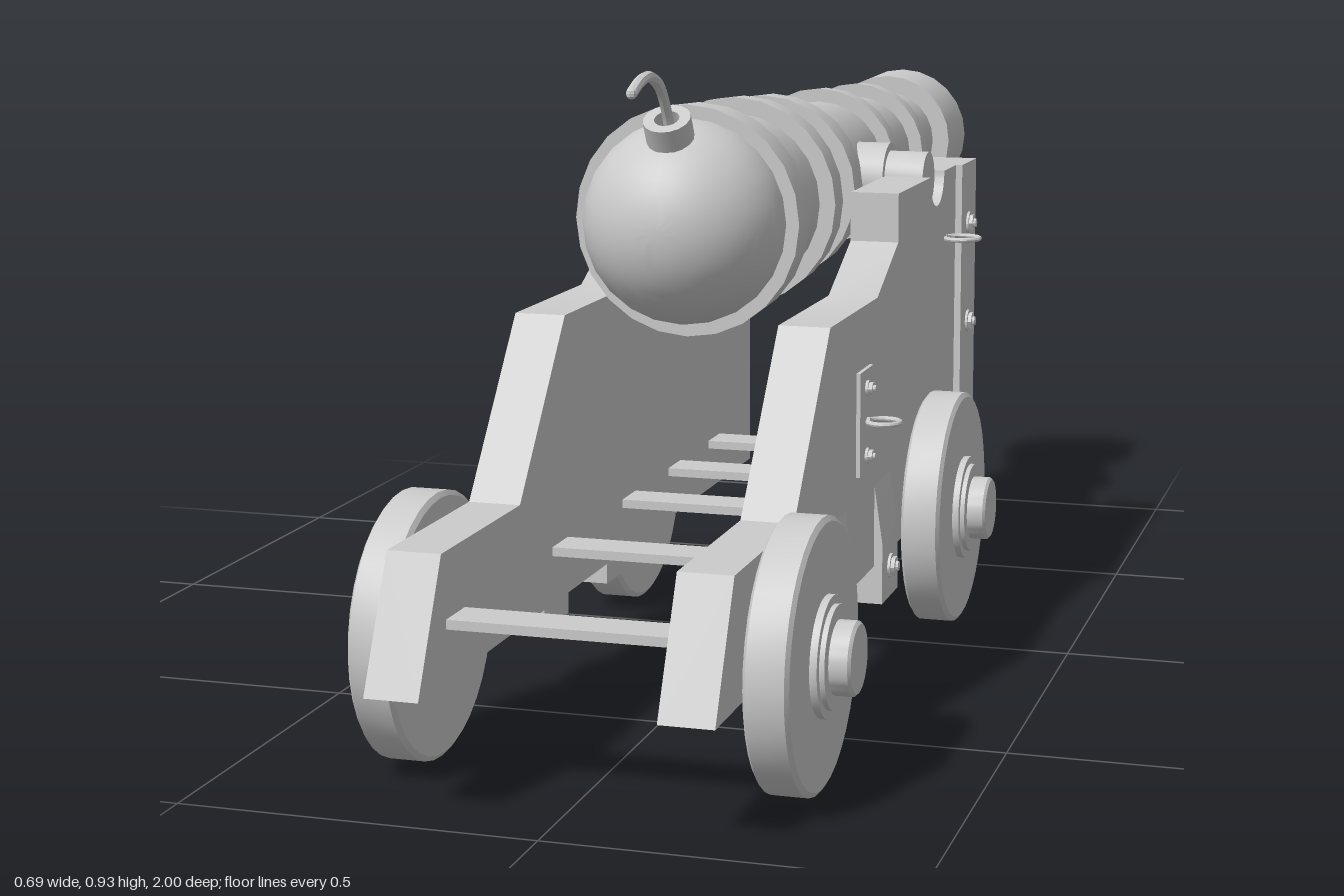
import * as THREE from 'three';
import { mergeGeometries, toCreasedNormals } from 'three/addons/utils/BufferGeometryUtils.js';

const material = new THREE.MeshStandardMaterial({ color: 0xcccccc });
const AXIS_Y = 0.704, TRUNNION_Z = -0.242;

const lathe = (points, sides) =>
  new THREE.LatheGeometry(points.map(([r, h]) => new THREE.Vector2(r, h)), sides);

const box = (x0, x1, y0, y1, z0, z1) =>
  new THREE.BoxGeometry(x1 - x0, y1 - y0, z1 - z0)
    .translate((x0 + x1) / 2, (y0 + y1) / 2, (z0 + z1) / 2);

// Cylinder lying along x from x0 to x1
const rod = (r, x0, x1, y, z, sides = 24) =>
  new THREE.CylinderGeometry(r, r, x1 - x0, sides).rotateZ(-Math.PI / 2).translate((x0 + x1) / 2, y, z);

// Reflects a geometry in x and restores its winding
function mirrored(geometry) {
  const g = geometry.index ? geometry.toNonIndexed() : geometry.clone();
  const p = g.attributes.position;
  const a = new THREE.Vector3(), b = new THREE.Vector3();
  g.scale(-1, 1, 1);
  for (let i = 0; i < p.count; i += 3) {
    a.fromBufferAttribute(p, i + 1);
    b.fromBufferAttribute(p, i + 2);
    p.setXYZ(i + 1, b.x, b.y, b.z);
    p.setXYZ(i + 2, a.x, a.y, a.z);
  }
  return g;
}

export function createModel() {
  const model = new THREE.Group();
  model.name = 'cannon';

  const add = (name, geometry) => {
    const mesh = new THREE.Mesh(toCreasedNormals(geometry, 0.6), material);
    mesh.name = name;
    model.add(mesh);
    return mesh;
  };
  const addPair = (name, geometry) => {
    add(name + 'Left', geometry);
    add(name + 'Right', mirrored(geometry));
  };

  // Barrel: round breech, tapering tube with raised bands, flared muzzle and bore
  const bodyRadius = (s) => 0.145 - 0.058 * (s + 0.37) / 1.24;
  const profile = [];
  for (let i = 0; i <= 12; i++) {
    const a = (i / 12) * Math.PI / 2;
    profile.push([0.148 * Math.sin(a), -0.37 - 0.148 * Math.cos(a)]);
  }
  const bands = [[-0.37, -0.305, 0.167], [-0.13, -0.075, 0.158], [0.03, 0.09, 0.148],
    [0.375, 0.42, 0.132], [0.63, 0.675, 0.121]];
  for (const [s0, s1, r] of bands) {
    profile.push([bodyRadius(s0), s0], [r, s0], [r - 0.002, s1], [bodyRadius(s1), s1]);
  }
  profile.push([0.087, 0.87], [0.117, 0.87], [0.12, 1], [0.084, 1], [0.078, 0.7], [0, 0.7]);
  add('barrel', lathe(profile, 24).rotateX(-Math.PI / 2).translate(0, AXIS_Y, 0));

  // Vent neck and curved fuse
  const neck = lathe([[0.034, 0.13], [0.034, 0.178], [0.018, 0.178], [0.018, 0.15], [0, 0.15]], 16);
  add('fuseNeck', neck.rotateX(0.52).translate(0, AXIS_Y, 0.37));
  const fusePath = new THREE.CatmullRomCurve3([
    [0.835, 0.443], [0.87, 0.46], [0.905, 0.49], [0.922, 0.535], [0.918, 0.575], [0.905, 0.61],
  ].map(([y, z]) => new THREE.Vector3(0, y, z)));
  add('fuse', mergeGeometries([
    new THREE.TubeGeometry(fusePath, 24, 0.008, 8),
    new THREE.SphereGeometry(0.008, 8, 6).translate(0, 0.905, 0.61),
  ]));

  // Trunnions with wider collars against the barrel
  addPair('trunnion', mergeGeometries([
    rod(0.058, 0.06, 0.155, AXIS_Y, TRUNNION_Z),
    rod(0.045, 0.15, 0.218, AXIS_Y, TRUNNION_Z),
  ]));

  // Stepped cheeks with a notch for the trunnion, drawn in (-z, y)
  const cheek = new THREE.Shape();
  cheek.moveTo(-1, 0.165);
  for (const [u, y] of [[-0.916, 0.338], [-0.635, 0.338], [-0.447, 0.573], [-0.168, 0.573],
    [-0.035, 0.638], [-0.035, 0.713], [-TRUNNION_Z - 0.052, 0.713]]) cheek.lineTo(u, y);
  cheek.absarc(-TRUNNION_Z, 0.713, 0.052, Math.PI, 2 * Math.PI, false);
  cheek.lineTo(0.5, 0.713);
  cheek.lineTo(0.5, 0.165);
  cheek.closePath();
  addPair('cheek', new THREE.ExtrudeGeometry(cheek, { depth: 0.075, bevelEnabled: false, curveSegments: 12 })
    .rotateY(Math.PI / 2).translate(0.158, 0, 0));
  addPair('endStrip', box(0.23, 0.244, 0.165, 0.713, -0.5, -0.385));

  // Slats joining the cheeks
  for (const z of [0.872, 0.478, 0.17, -0.06, -0.28]) {
    add('crossSlat', box(-0.162, 0.162, 0.235, 0.248, z - 0.032, z + 0.032));
  }

  // Bolts: washer, hexagonal nut and stud
  const bolt = (x, y, z, r) => addPair('bolt', mergeGeometries([
    rod(r, x - 0.005, x + 0.004, y, z, 16),
    rod(r * 0.8, x, x + 0.01, y, z, 6),
    rod(r * 0.4, x, x + 0.014, y, z, 10),
  ]));
  for (const y of [0.61, 0.442, 0.267]) bolt(0.244, y, -0.44, 0.019);

  // Wedge-topped brackets under each cheek
  const bracket = new THREE.Shape([[0.192, 0.107], [0.246, 0.107], [0.246, 0.2], [0.233, 0.29], [0.192, 0.29]]
    .map(([x, y]) => new THREE.Vector2(x, y)));
  for (const z of [0.405, 0.128]) {
    addPair('bracket', new THREE.ExtrudeGeometry(bracket, { depth: 0.102, bevelEnabled: false })
      .translate(0, 0, z - 0.051));
    bolt(0.246, 0.155, z, 0.019);
  }

  // Ring plates, and one extra ring on the left cheek
  const ring = (r, x, y, z) => mergeGeometries([
    new THREE.TorusGeometry(r, 0.004, 8, 24).rotateX(Math.PI / 2).translate(x, y, z),
    rod(0.006, 0.225, x - r + 0.004, y, z, 8),
  ]);
  addPair('ringPlate', box(0.23, 0.239, 0.327, 0.481, 0.215, 0.295));
  for (const y of [0.453, 0.352]) bolt(0.239, y, 0.255, 0.012);
  addPair('tackleRing', ring(0.024, 0.264, 0.403, 0.252));
  add('upperRing', ring(0.029, 0.259, 0.6, -0.316));

  // Solid wheels with stepped hubs and short axle stubs
  const wheel = lathe([[0, 0.19], [0.045, 0.19], [0.045, 0.238], [0.178, 0.238], [0.185, 0.243],
    [0.185, 0.294], [0.178, 0.299], [0.082, 0.299], [0.082, 0.309], [0.07, 0.309], [0.07, 0.316],
    [0.05, 0.316], [0.05, 0.341], [0.046, 0.345], [0, 0.345]], 36).rotateZ(-Math.PI / 2);
  for (const z of [0.722, -0.157]) addPair('wheel', wheel.clone().translate(0, 0.185, z));

  return model;
}
